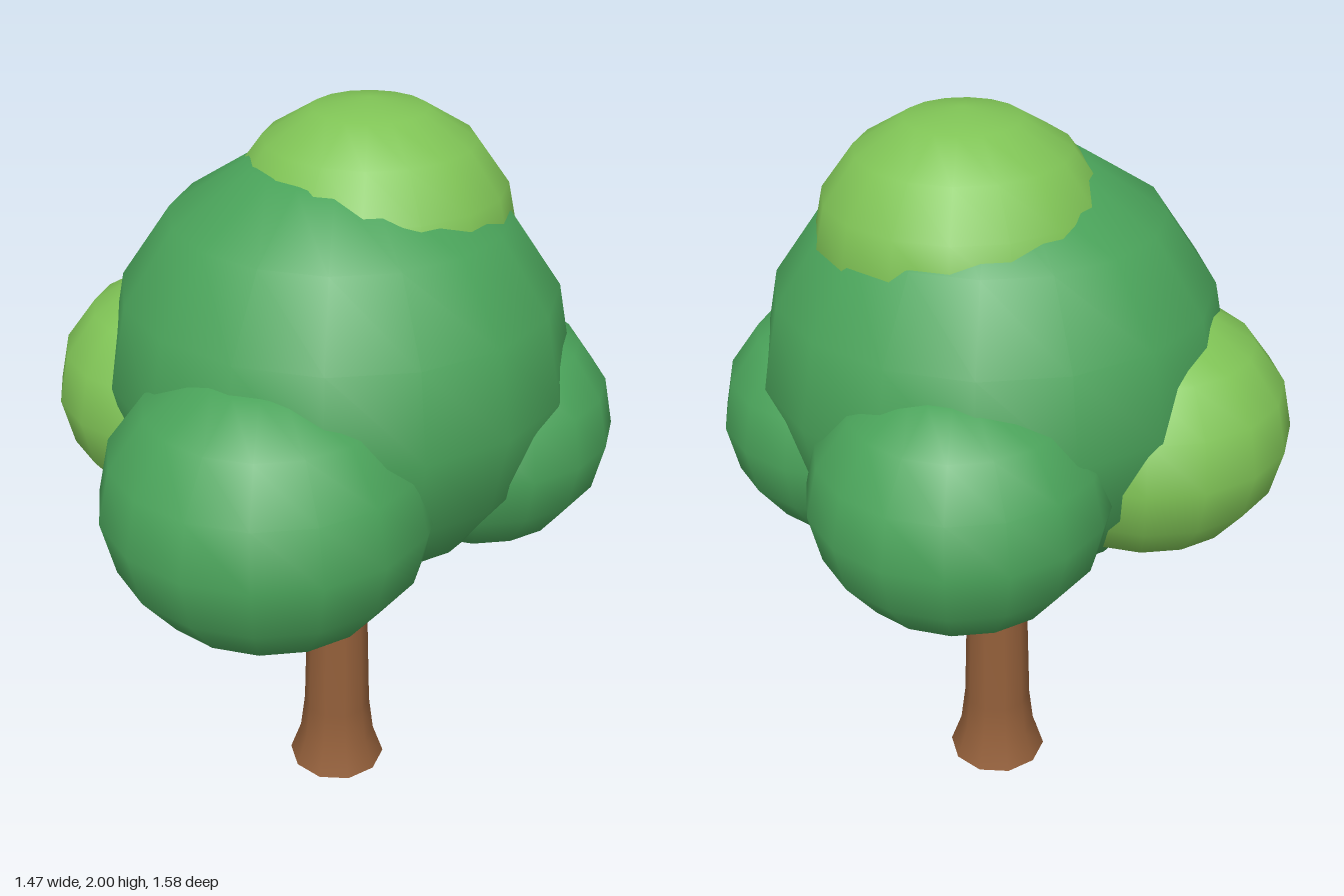
import * as THREE from 'three';

const paint = (name, color) => {
  const m = new THREE.MeshStandardMaterial({ color });
  m.name = name;
  return m;
};

export function createModel() {
  const tree = new THREE.Group();
  tree.name = 'tree';
  const green = paint('leafGreen', 0x4aa35a);
  const lime = paint('lightLeafGreen', 0x80c456);
  const brown = paint('barkBrown', 0x935f3a);

  // Ten-sided trunk flaring at the root
  const trunk = new THREE.Group();
  trunk.name = 'trunk';
  trunk.position.set(0.018, 0, -0.012);
  const profile = [[0.14, 0], [0.109, 0.09], [0.096, 0.2], [0.079, 0.8], [0.07, 1.1]]
    .map(([r, y]) => new THREE.Vector2(r, y));
  const bark = new THREE.Mesh(new THREE.LatheGeometry(profile, 10), brown);
  bark.name = 'trunkBark';
  bark.rotation.y = Math.PI / 2;
  const base = new THREE.Mesh(new THREE.CircleGeometry(0.14, 10), brown);
  base.name = 'trunkBase';
  base.rotation.x = Math.PI / 2;
  trunk.add(bark, base);
  tree.add(trunk);

  // Foliage: slightly flattened overlapping balls
  // name, material, centre, horizontal radius, vertical radius
  const ball = new THREE.SphereGeometry(1, 16, 8);
  const foliage = [
    ['crown', green, [0.022, 1.335, -0.012], 0.595, 0.565],
    ['frontFoliage', green, [-0.125, 1.143, 0.372], 0.418, 0.37],
    ['backFoliage', green, [0.075, 1.18, -0.422], 0.372, 0.332],
    ['leftFoliage', green, [0.382, 1.165, -0.015], 0.354, 0.33],
    ['rightFoliage', lime, [-0.367, 1.205, -0.1], 0.37, 0.327],
    ['topFoliage', lime, [0.09, 1.67, -0.06], 0.37, 0.33],
  ];
  for (const [name, material, centre, r, ry] of foliage) {
    const mesh = new THREE.Mesh(ball, material);
    mesh.name = name;
    mesh.position.set(...centre);
    mesh.scale.set(r, ry, r);
    tree.add(mesh);
  }
  return tree;
}
